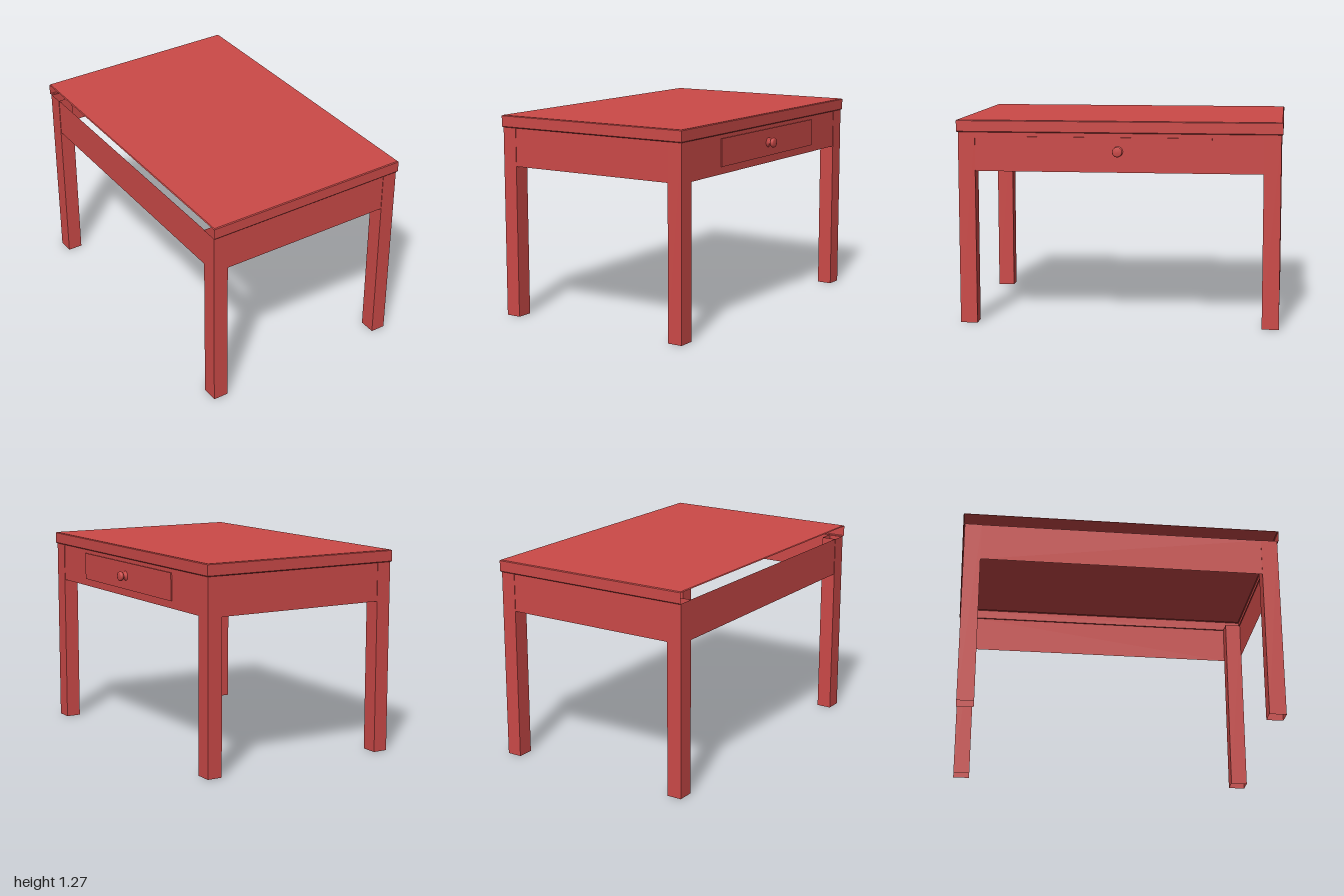
import * as THREE from 'three';

const material = new THREE.MeshStandardMaterial({ color: 0xcc4a48, side: THREE.DoubleSide, flatShading: true });
const smooth = new THREE.MeshStandardMaterial({ color: 0xcc4a48, side: THREE.DoubleSide });

// Box between two corners, keeping only the listed faces (0..5 = +x -x +y -y +z -z)
function shell(name, [x0, y0, z0], [x1, y1, z1], faces) {
  const g = new THREE.BoxGeometry(x1 - x0, y1 - y0, z1 - z0);
  const index = Array.from(g.index.array);
  g.setIndex(faces.flatMap((f) => index.slice(f * 6, f * 6 + 6)));
  g.clearGroups();
  g.translate((x0 + x1) / 2, (y0 + y1) / 2, (z0 + z1) / 2);
  const mesh = new THREE.Mesh(g, material);
  mesh.name = name;
  return mesh;
}

// Table top: bevelled shell, open underneath and along the -x edge
function tableTop() {
  const rings = [[0.005, 1.27], [0, 1.265], [0, 1.2], [0.004, 1.195], [0.02, 1.195]];
  const corners = ([d, y]) => [
    [-0.685 + d, y, 1 - d], [0.64 - d, y, 1 - d], [0.64 - d, y, -1 + d], [-0.685 + d, y, -1 + d],
  ];
  const positions = [];
  const quad = (a, b, c, d) => positions.push(...a, ...b, ...c, ...a, ...c, ...d);
  quad(...corners(rings[0]));
  for (let r = 0; r < rings.length - 1; r++) {
    const up = corners(rings[r]), low = corners(rings[r + 1]);
    for (let s = 0; s < 4; s++) {
      if (s === 3 && r > 0) continue; // no rim on the -x side
      const t = (s + 1) % 4;
      quad(low[s], low[t], up[t], up[s]);
    }
  }
  const g = new THREE.BufferGeometry();
  g.setAttribute('position', new THREE.Float32BufferAttribute(positions, 3));
  g.computeVertexNormals();
  const mesh = new THREE.Mesh(g, material);
  mesh.name = 'tableTop';
  return mesh;
}

export function createModel() {
  const group = new THREE.Group();
  group.name = 'table';
  group.add(tableTop());

  // Four hollow legs, open at both ends
  for (const [x0, x1] of [[-0.68, -0.585], [0.538, 0.633]]) {
    for (const [z0, z1] of [[-0.99, -0.885], [0.885, 0.99]]) {
      group.add(shell('leg', [x0, 0, z0], [x1, 1.197, z1], [0, 1, 4, 5]));
    }
  }

  // Thin aprons between the legs
  const low = 0.955, high = 1.197;
  group.add(shell('sideApron', [0.6, low, -0.885], [0.63, high, 0.885], [0]));
  group.add(shell('sideApron', [-0.677, low, -0.885], [-0.64, high, 0.885], [1]));
  group.add(shell('endApron', [-0.585, low, 0.96], [0.538, high, 0.987], [4]));
  group.add(shell('endApron', [-0.585, low, -0.987], [0.538, high, -0.96], [5]));

  // Drawer front, slightly raised
  group.add(shell('drawerFront', [0.63, 1.0, -0.573], [0.637, 1.17, 0.558], [0, 2, 3, 4, 5]));

  // Turned knob pointing along +x
  const profile = [
    [0.032, 0], [0.03, 0.004], [0.018, 0.01], [0.013, 0.016], [0.014, 0.021], [0.025, 0.026],
    [0.03, 0.032], [0.031, 0.039], [0.028, 0.046], [0.022, 0.049], [0, 0.05],
  ].map(([r, h]) => new THREE.Vector2(r, h));
  const knob = new THREE.Mesh(new THREE.LatheGeometry(profile, 24), smooth);
  knob.name = 'knob';
  knob.rotation.z = -Math.PI / 2;
  knob.position.set(0.635, 1.085, 0);
  group.add(knob);

  return group;
}
